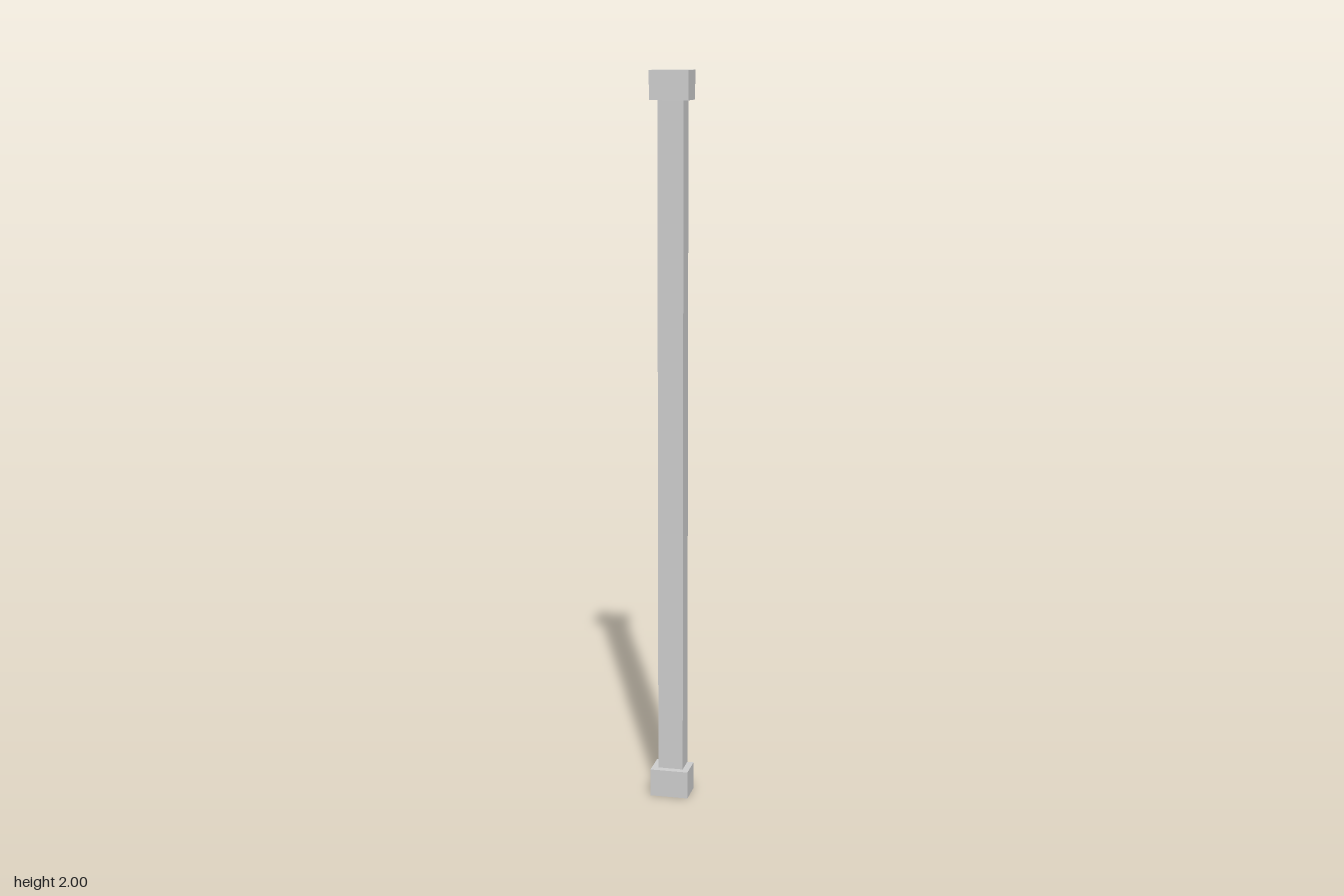
import * as THREE from 'three';

const material = new THREE.MeshStandardMaterial({ color: 0xcccccc, flatShading: true, side: THREE.DoubleSide });

// Thin-walled box keeping only some sides: 0 +x, 1 -x, 2 +y, 3 -y, 4 +z, 5 -z
function shell(name, [w, h, d], [x, y, z], sides) {
  const geometry = new THREE.BoxGeometry(w, h, d);
  const index = Array.from(geometry.index.array);
  geometry.setIndex(sides.flatMap((s) => index.slice(s * 6, s * 6 + 6)));
  geometry.clearGroups();
  const mesh = new THREE.Mesh(geometry, material);
  mesh.name = name;
  mesh.position.set(x, y, z);
  return mesh;
}

export function createModel() {
  const group = new THREE.Group();
  group.name = 'pilaster';

  const height = 2, blockHeight = 0.077, depth = 0.08, shaftDepth = 0.06;
  const block = [0.106, blockHeight, depth];

  // Base and capital: blocks open at the back, where they meet the wall
  group.add(shell('base', block, [0, blockHeight / 2, 0], [0, 1, 2, 3, 4]));
  group.add(shell('capital', block, [0, height - blockHeight / 2, 0], [0, 1, 2, 3, 4]));

  // Shaft: three-sided channel, flush with the blocks at the back
  group.add(shell('shaft', [0.07, height - 2 * blockHeight, shaftDepth],
    [0, height / 2, (shaftDepth - depth) / 2], [0, 1, 4]));

  return group;
}
